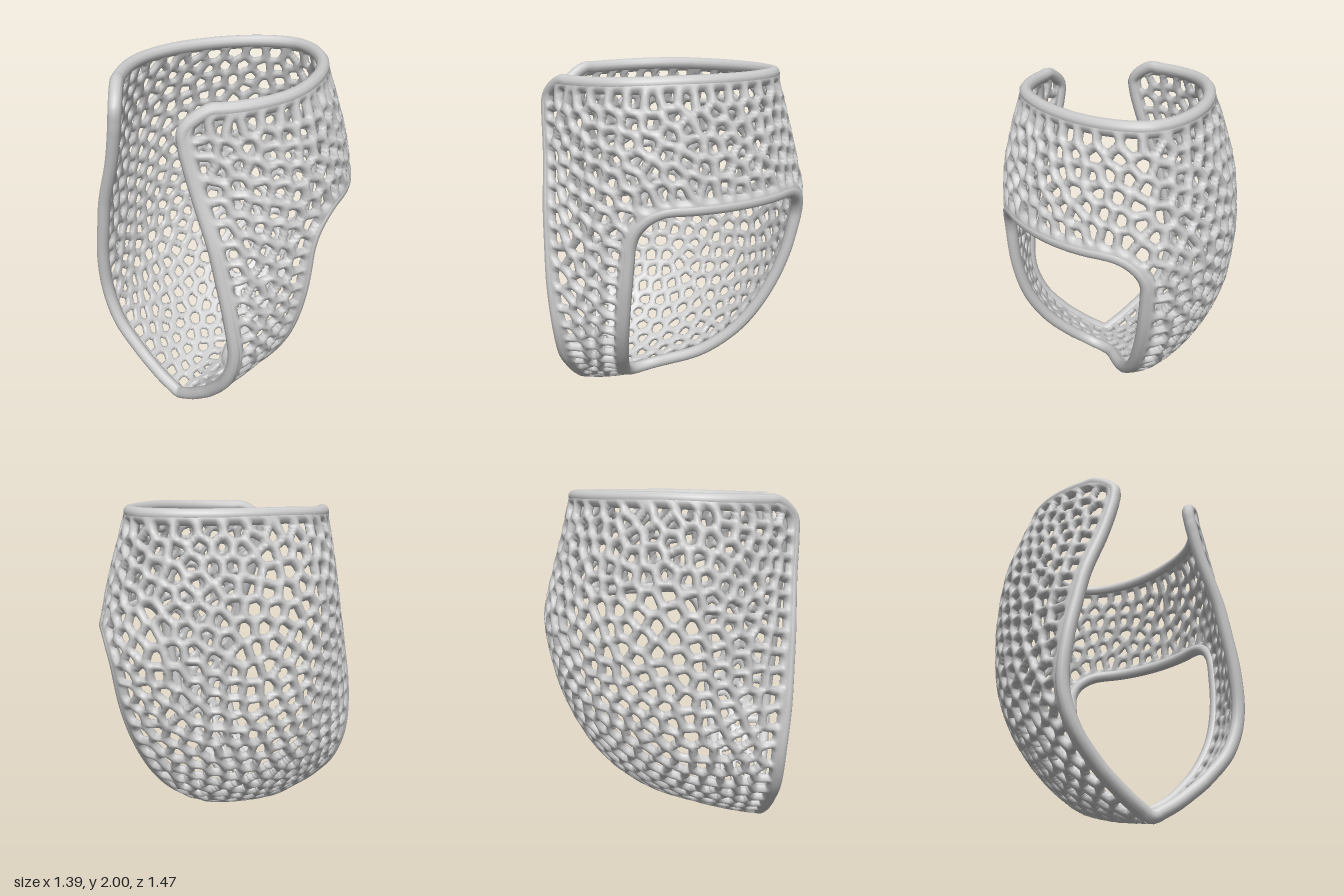
import * as THREE from 'three';
import { mergeVertices } from 'three/addons/utils/BufferGeometryUtils.js';

const NU = 250, NV = 150;          // grid around and up the shell
const TOP = 1.962, RIM = 0.036;    // height of the top rim, rim radius
const STRUT = 0.025;               // half width of the lattice struts
const V3 = (x, y, z) => new THREE.Vector3(x, y, z);

// horizontal sections: height, back z, front z, half width, front edge x, z of widest point
const SECTIONS = [
  [0.036, 0.56, 0.585, 0.02, 0.015, 0.575], [0.10, 0.29, 0.60, 0.13, 0.12, 0.50],
  [0.17, 0.04, 0.61, 0.22, 0.21, 0.45], [0.25, -0.17, 0.62, 0.31, 0.30, 0.40],
  [0.41, -0.37, 0.64, 0.45, 0.43, 0.30], [0.62, -0.52, 0.65, 0.57, 0.50, 0.20],
  [0.87, -0.63, 0.67, 0.64, 0.49, 0.12], [1.13, -0.69, 0.68, 0.66, 0.44, 0.10],
  [1.30, -0.70, 0.685, 0.66, 0.40, 0.10], [1.55, -0.64, 0.69, 0.64, 0.31, 0.12],
  [1.77, -0.58, 0.70, 0.58, 0.25, 0.15], [TOP, -0.53, 0.70, 0.51, 0.22, 0.18],
];
const column = (k) => new THREE.CatmullRomCurve3(
  SECTIONS.map((s) => V3(s[k], s[k + 1], s[k + 2])), false, 'catmullrom', 0.5);
const depthCurve = column(0), widthCurve = column(3);

// horseshoe section at v (0 bottom, 1 top); returns its half length and a point function
function section(v) {
  const t = depthCurve.getUtoTmapping(v);
  const { x: y, y: zb, z: zf } = depthCurve.getPoint(t);
  const { x: w, y: xf, z: zm } = widthCurve.getPoint(t);
  const pts = [];
  for (let i = 0; i <= 20; i++) {
    const a = (i / 20) * Math.PI / 2, p = 2 / 1.75;
    pts.push([w * Math.sin(a) ** p, zm - (zm - zb) * Math.max(0, Math.cos(a)) ** p]);
  }
  for (let i = 1; i <= 12; i++) {
    const s = i / 12;
    pts.push([w - (w - xf) * s * s, zm + (zf - zm) * s]);
  }
  const len = [0];
  for (let i = 1; i < pts.length; i++)
    len.push(len[i - 1] + Math.hypot(pts[i][0] - pts[i - 1][0], pts[i][1] - pts[i - 1][1]));
  // round off the upper front corners
  const r = 0.14, c = Math.min(r, Math.max(0, y - (TOP - r)));
  const half = len[len.length - 1] - (r - Math.sqrt(r * r - c * c));
  const at = (u) => {
    const d = Math.min(Math.abs(u), 1) * half;
    let i = 1;
    while (i < len.length - 1 && len[i] < d) i++;
    const f = (d - len[i - 1]) / (len[i] - len[i - 1]);
    const x = pts[i - 1][0] + (pts[i][0] - pts[i - 1][0]) * f;
    const z = pts[i - 1][1] + (pts[i][1] - pts[i - 1][1]) * f;
    return V3(Math.sign(u) * x, y - 0.015 * Math.max(0, z) * y, z);
  };
  return { y, half, at };
}

// side window with rounded corners: positive inside
function windowField(p) {
  const r = 0.21;
  const d = [p.x - 0.055, 0.34 - 0.11 * p.y - p.z, 1.345 - p.y].map((a) => Math.max(0, r - a));
  return r - Math.hypot(...d);
}

// evenly spread hole centres: farthest-point start, then relaxation
function spreadSeeds(samples) {
  const area = samples.reduce((s, q) => s + q.area, 0);
  const count = Math.round(area / 0.0097);
  const near = new Float64Array(samples.length).fill(Infinity);
  let seeds = [], next = 0;
  for (let n = 0; n < count; n++) {
    const s = samples[next].p.clone();
    seeds.push(s);
    next = 0;
    samples.forEach((q, i) => {
      near[i] = Math.min(near[i], q.p.distanceToSquared(s));
      if (near[i] > near[next]) next = i;
    });
  }
  for (let it = 0; it < 14; it++) {
    const sums = seeds.map(() => ({ p: V3(0, 0, 0), w: 0 }));
    for (const q of samples) {
      const c = sums[nearest(q.p, seeds)];
      c.p.addScaledVector(q.p, q.area);
      c.w += q.area;
    }
    seeds = seeds.map((s, i) => (sums[i].w ? sums[i].p.divideScalar(sums[i].w) : s));
  }
  return seeds;
}
function nearest(p, seeds) {
  let best = 0, bd = Infinity;
  for (let i = 0; i < seeds.length; i++) {
    const d = p.distanceToSquared(seeds[i]);
    if (d < bd) { bd = d; best = i; }
  }
  return best;
}

// depth into solid lattice material: negative inside a hole
function latticeField(p, border, seeds) {
  const s = seeds[nearest(p, seeds)], d1 = p.distanceTo(s);
  let edge = 1;
  for (const o of seeds) {
    const gap = o.distanceTo(s);
    if (o !== s && gap < 0.3) edge = Math.min(edge, (p.distanceToSquared(o) - d1 * d1) / (2 * gap));
  }
  return Math.max(STRUT - edge, 0.05 - border, d1 - 0.046);
}

function shellGeometry(rows) {
  // grid of points with normal, cell area and distance to the rims
  const P = rows.map((r) => Array.from({ length: NU + 1 }, (_, i) => r.at((2 * i) / NU - 1)));
  const grid = [], samples = [];
  for (let j = 0; j <= NV; j++) for (let i = 0; i <= NU; i++) {
    const p = P[j][i];
    const du = P[j][Math.min(i + 1, NU)].clone().sub(P[j][Math.max(i - 1, 0)]);
    const dv = P[Math.min(j + 1, NV)][i].clone().sub(P[Math.max(j - 1, 0)][i]);
    const n = dv.cross(du), area = n.length() / 4;
    const g = windowField(p);
    const border = Math.min((1 - Math.abs((2 * i) / NU - 1)) * rows[j].half, TOP - rows[j].y, -g);
    const q = { p, n: n.normalize(), area, g, border };
    grid.push(q);
    if (border > 0.045) samples.push(q);
  }
  const seeds = spreadSeeds(samples);
  // vertex record: position, normal, lattice depth, clip value
  const verts = grid.map((q) => {
    const h = q.g > 0.05 ? STRUT : latticeField(q.p, q.border, seeds);
    return [...q.p.toArray(), ...q.n.toArray(), h, Math.min(h, -q.g)];
  });

  const pos = [];
  const emit = (v, side) => {
    const q = THREE.MathUtils.clamp(v[6] / (side > 0 ? STRUT : STRUT * 0.4), 0, 1);
    const o = (side > 0 ? 0.031 : -0.014) * Math.sqrt(1 - (1 - q) ** 2);
    pos.push(v[0] + v[3] * o, v[1] + v[4] * o, v[2] + v[5] * o);
  };
  const addTriangle = (tri) => {
    const poly = [];
    tri.forEach((a, k) => {
      const b = tri[(k + 1) % 3];
      if (a[7] > 0) poly.push(a);
      if ((a[7] > 0) !== (b[7] > 0)) {
        const t = a[7] / (a[7] - b[7]);
        poly.push(a.map((x, m) => x + (b[m] - x) * t));
      }
    });
    for (let k = 1; k + 1 < poly.length; k++) {
      [poly[0], poly[k], poly[k + 1]].forEach((v) => emit(v, -1));
      [poly[0], poly[k + 1], poly[k]].forEach((v) => emit(v, 1));
    }
  };
  for (let j = 0; j < NV; j++) for (let i = 0; i < NU; i++) {
    const k = j * (NU + 1) + i;
    const [a, b, c, d] = [verts[k], verts[k + 1], verts[k + NU + 2], verts[k + NU + 1]];
    addTriangle([a, b, c]);
    addTriangle([a, c, d]);
  }
  let geo = new THREE.BufferGeometry();
  geo.setAttribute('position', new THREE.Float32BufferAttribute(pos, 3));
  geo = mergeVertices(geo, 1e-5);
  geo.computeVertexNormals();
  return geo;
}

const rimTube = (pts, n) => new THREE.TubeGeometry(
  new THREE.CatmullRomCurve3(pts, true, 'centripetal'), n, RIM, 10, true);

// edge of the whole shell: up one side, across the top, down the other
function outerRim(rows) {
  const pts = [];
  for (let j = 0; j <= NV; j += 5) pts.push(rows[j].at(-1));
  for (let i = 1; i < 40; i++) pts.push(rows[NV].at(i / 20 - 1));
  for (let j = NV; j >= 0; j -= 5) pts.push(rows[j].at(1));
  return rimTube(pts, 320);
}

// edge of the side window, found along rays from its middle
function windowRim() {
  const pts = [];
  for (let k = 0; k < 72; k++) {
    const a = (k / 72) * Math.PI * 2;
    const at = (d) => section(THREE.MathUtils.clamp(0.5 + d * Math.sin(a), 0, 1))
      .at(THREE.MathUtils.clamp(0.38 + d * Math.cos(a), 0, 1));
    let lo = 0, hi = 0.6;
    for (let s = 0; s < 18; s++) {
      const mid = (lo + hi) / 2;
      if (windowField(at(mid)) > 0) lo = mid; else hi = mid;
    }
    pts.push(at(lo));
  }
  return rimTube(pts, 220);
}

export function createModel() {
  const group = new THREE.Group();
  group.name = 'perforatedBrace';
  const material = new THREE.MeshStandardMaterial({ color: 0xcccccc, side: THREE.DoubleSide });
  const rows = Array.from({ length: NV + 1 }, (_, j) => section(j / NV));
  const add = (name, geo) => {
    const mesh = new THREE.Mesh(geo, material);
    mesh.name = name;
    group.add(mesh);
  };
  add('latticeShell', shellGeometry(rows));
  add('outerRim', outerRim(rows));
  add('windowRim', windowRim());
  return group;
}
